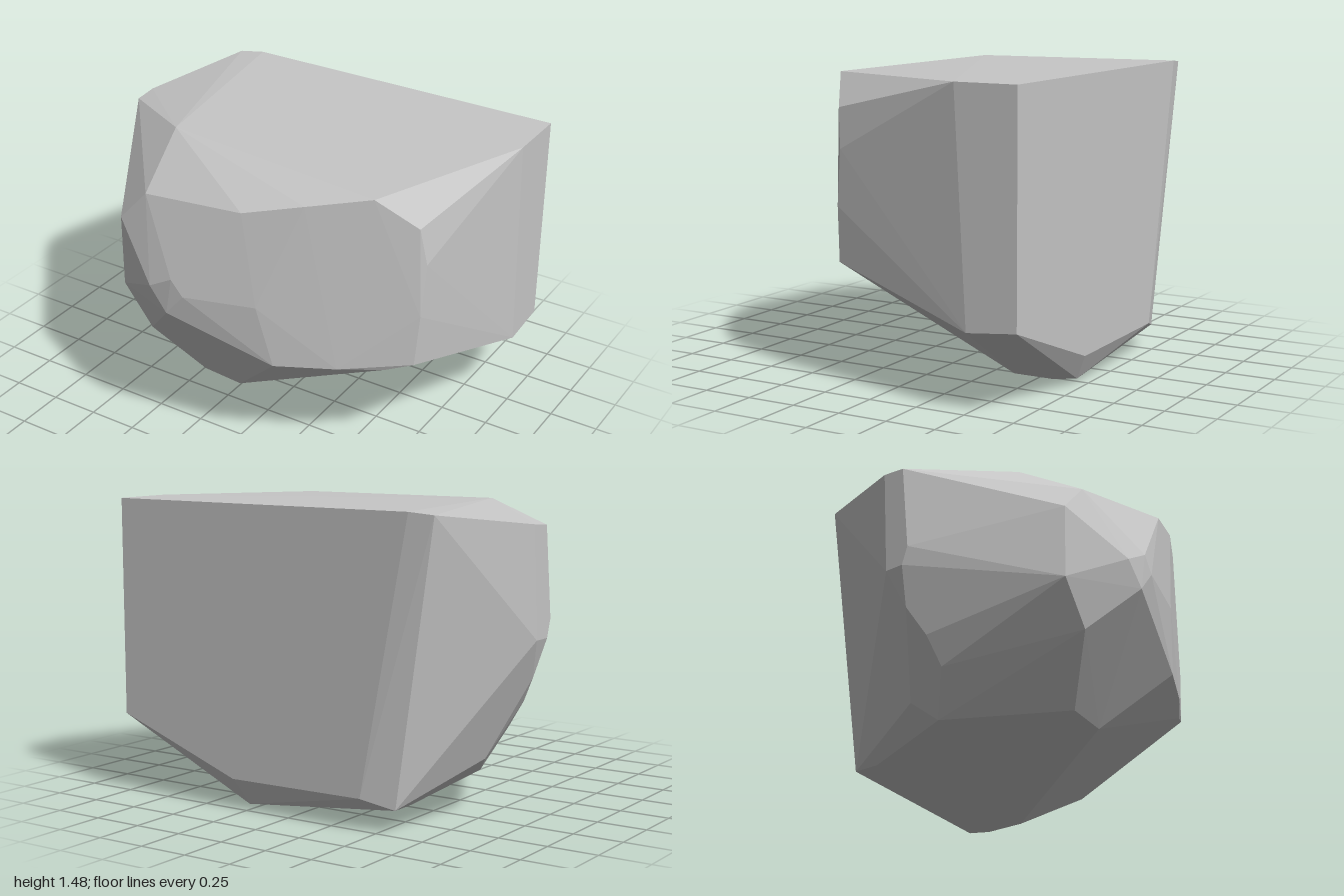
import * as THREE from 'three';
import { ConvexGeometry } from 'three/addons/geometries/ConvexGeometry.js';

// Corners of the faceted boulder, grouped by region (x, y, z)
const crown = [
  [1, 1.48, -0.765], [1, 1.48, -0.45], [0.66, 1.47, 0.37], [0.39, 1.43, 0.53],
  [0.12, 1.37, 0.64], [-0.46, 1.285, 0.59], [-0.52, 1.48, 0.25],
  [-1, 1.39, -0.08], [-1, 1.4, -0.2], [-0.8, 1.465, -0.74], [-0.68, 1.477, -0.765],
];
const front = [
  [0.84, 1.32, 0.26], [0.87, 1.13, 0.235], [0.86, 0.86, 0.26], [0.84, 0.59, 0.267],
  [0.72, 0.555, 0.33], [0.53, 0.563, 0.46], [0.26, 0.565, 0.6], [0.195, 0.89, 0.645],
  [-0.14, 0.9, 0.76], [-0.2, 0.98, 0.765], [-0.33, 0.905, 0.76], [-0.235, 0.785, 0.765],
  [-0.61, 1.12, 0.6], [-0.61, 0.75, 0.6], [-0.455, 0.54, 0.595],
];
const flank = [
  [-1, 0.95, -0.03], [-1, 0.86, -0.06], [-1, 0.86, -0.16], [-0.94, 0.67, -0.08],
  [-0.86, 0.54, -0.02], [-0.77, 0.405, 0], [-0.755, 0.28, -0.2], [-0.67, 0.195, -0.1],
];
const underside = [
  [-0.58, 0.11, -0.71], [-0.58, 0.11, -0.57], [-0.28, 0.245, 0.4], [-0.075, 0.22, 0.39],
  [0.27, 0, -0.36], [0.27, 0, -0.57], [0.27, 0.02, -0.7],
  [0.32, 0.15, -0.765], [-0.42, 0.155, -0.765], [1, 0.4, -0.765], [1, 0.375, -0.51],
];

export function createModel() {
  const stone = new THREE.MeshStandardMaterial({ color: 0xc6c6c6, flatShading: true });
  stone.name = 'stone grey';

  // Boulder: the convex skin stretched over its corners
  const points = [...crown, ...front, ...flank, ...underside].map((p) => new THREE.Vector3(...p));
  const boulder = new THREE.Mesh(new ConvexGeometry(points), stone);
  boulder.name = 'boulder';

  const model = new THREE.Group();
  model.name = 'rock';
  model.add(boulder);
  return model;
}
